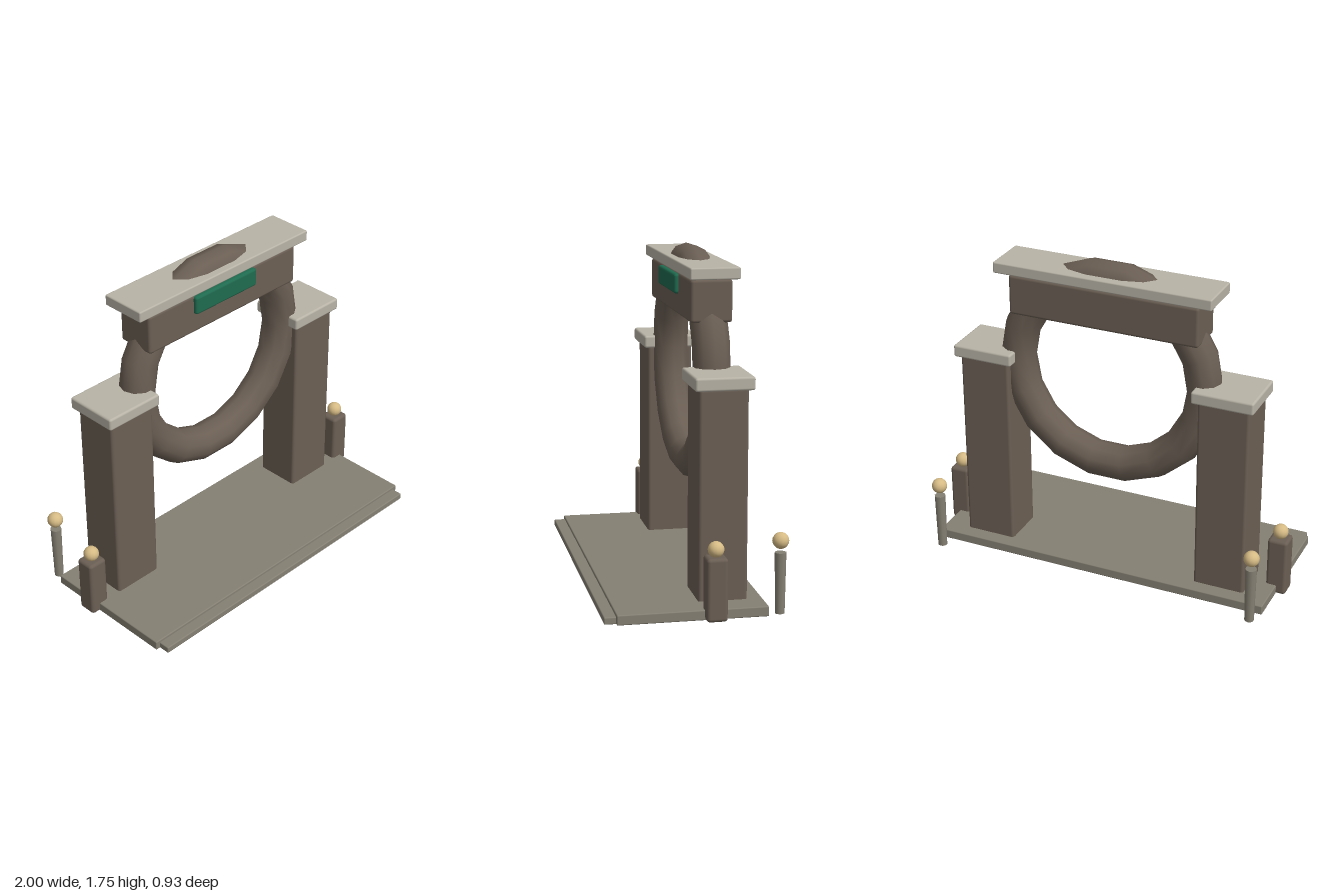
import * as THREE from 'three';
import { RoundedBoxGeometry } from 'three/addons/geometries/RoundedBoxGeometry.js';

const mat = (color) => new THREE.MeshStandardMaterial({ color });

export function createModel() {
  const root = new THREE.Group();
  const stone = mat(0x6b5f54);
  const paleStone = mat(0xb8b3a6);
  const paving = mat(0x858073);
  const underside = mat(0x5c584f);
  const green = mat(0x1f6b50);
  const brass = mat(0xd6bb85);

  const add = (name, geometry, material, x = 0, y = 0, z = 0) => {
    const mesh = new THREE.Mesh(geometry, material);
    mesh.name = name;
    mesh.position.set(x, y, z);
    root.add(mesh);
    return mesh;
  };

  // Box given by its extents along each axis, with rounded edges
  const block = (name, material, [x0, x1], [y0, y1], [z0, z1], radius) =>
    add(name, new RoundedBoxGeometry(x1 - x0, y1 - y0, z1 - z0, 2, radius), material,
      (x0 + x1) / 2, (y0 + y1) / 2, (z0 + z1) / 2);

  // Paved platform with a lower front step
  block('platform', paving, [-0.95, 0.95], [0.008, 0.06], [-0.36, 0.4], 0.006);
  block('frontStep', paving, [-0.925, 0.925], [0.008, 0.045], [0.34, 0.46], 0.006);
  block('undersidePanel', underside, [-0.6, 0.6], [0, 0.03], [-0.07, 0.2], 0.003);

  // Great ring, its crown showing above the top slab
  add('ring', new THREE.TorusGeometry(0.53, 0.096, 10, 18), stone, 0, 1.134, -0.158);

  // Lintel, top slab and plaque
  block('lintel', stone, [-0.525, 0.525], [1.41, 1.628], [-0.265, -0.05], 0.016);
  block('topSlab', paleStone, [-0.6, 0.6], [1.635, 1.695], [-0.287, -0.032], 0.008);
  block('plaque', green, [-0.22, 0.215], [1.52, 1.622], [-0.1, -0.028], 0.014);

  for (const [side, s] of [['left', 1], ['right', -1]]) {
    const span = (a, b) => (s > 0 ? [a, b] : [-b, -a]);

    // Pillar and its capstone
    block(side + 'Pillar', stone, span(0.535, 0.815), [0.03, 1.13], [-0.282, -0.032], 0.016);
    block(side + 'Capstone', paleStone, span(0.507, 0.842), [1.122, 1.19], [-0.308, -0.008], 0.012);

    // Square bollard with a ball finial
    block(side + 'Bollard', stone, span(0.89, 1), [0.008, 0.33], [-0.142, -0.036], 0.018);
    add(side + 'BollardBall', new THREE.SphereGeometry(0.041, 14, 10), brass, s * 0.945, 0.364, -0.09);

    // Slim rear post with a floating ball
    add(side + 'RearPost', new THREE.CylinderGeometry(0.03, 0.025, 0.312, 10), paving, s * 0.905, 0.164, -0.425);
    add(side + 'RearBall', new THREE.SphereGeometry(0.042, 14, 10), brass, s * 0.905, 0.38, -0.425);
  }

  return root;
}
